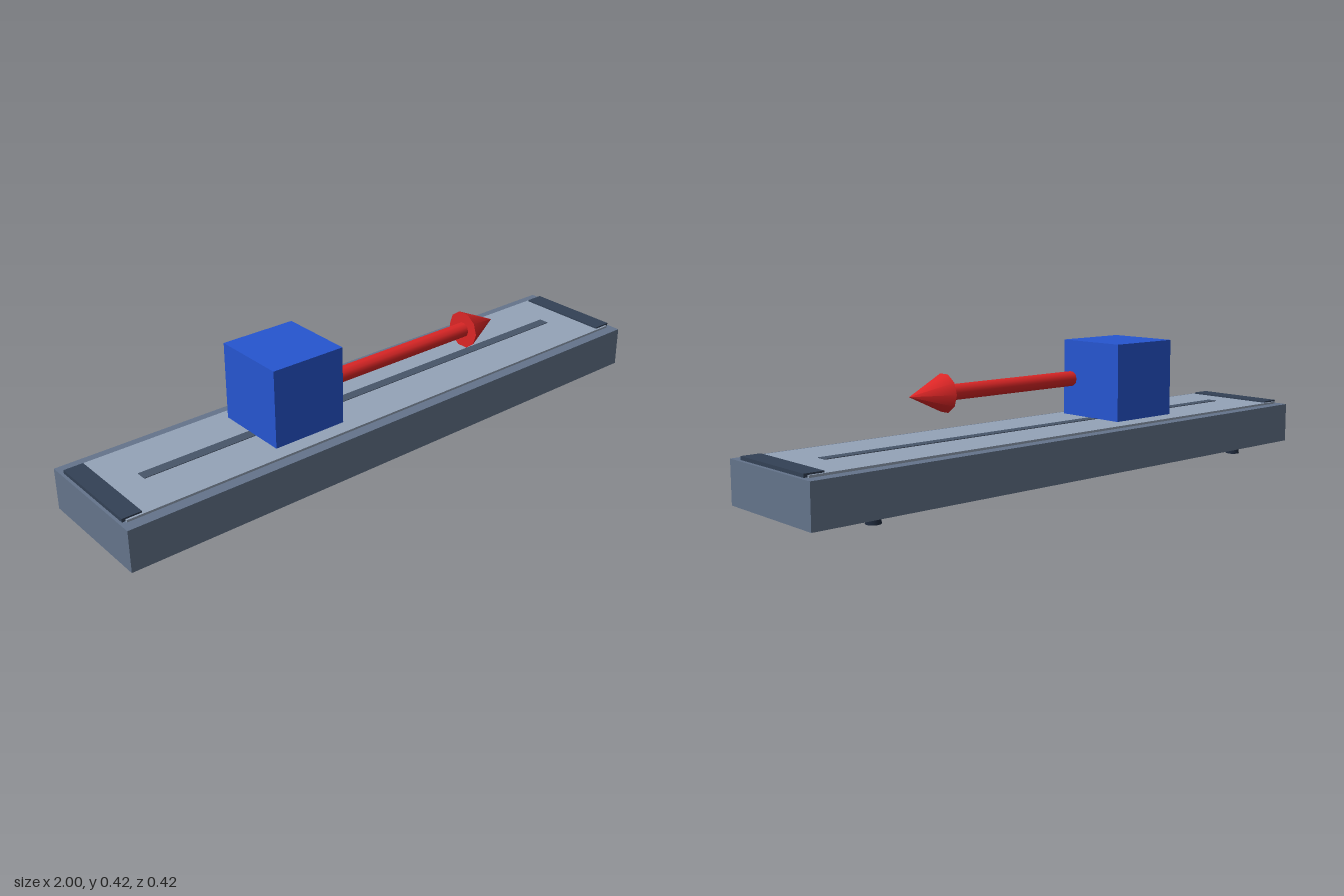
import * as THREE from 'three';

export function createModel() {
  const model = new THREE.Group();
  model.name = 'slidingBlockTrack';

  const mat = (color) => new THREE.MeshStandardMaterial({ color });
  const slate = mat(0x64748b), pale = mat(0x94a3b8), slotGrey = mat(0x475569);
  const dark = mat(0x334155), rubber = mat(0x1e293b), blue = mat(0x2655d0), red = mat(0xdc2626);

  const add = (name, geometry, material, x, y, z, parent = model) => {
    const mesh = new THREE.Mesh(geometry, material);
    mesh.name = name;
    mesh.position.set(x, y, z);
    parent.add(mesh);
    return mesh;
  };
  // Box given by its bottom and top heights
  const slab = (name, w, y0, y1, d, material, x = 0) =>
    add(name, new THREE.BoxGeometry(w, y1 - y0, d), material, x, (y0 + y1) / 2, 0);

  // Track: body, inset top plate and centre guide
  slab('base', 2, 0.025, 0.159, 0.416, slate);
  slab('topPlate', 1.96, 0.157, 0.166, 0.342, pale);
  slab('guideSlot', 1.67, 0.16, 0.168, 0.035, slotGrey);

  // End stops and feet
  for (const sx of [-1, 1]) {
    slab('endStop', 0.062, 0.16, 0.171, 0.328, dark, sx * 0.96);
    for (const sz of [-1, 1]) {
      add('foot', new THREE.CylinderGeometry(0.02, 0.0235, 0.018, 12), rubber, sx * 0.77, 0.009, sz * 0.149);
    }
  }

  // Sliding block
  slab('block', 0.252, 0.17, 0.422, 0.252, blue, -0.329);

  // Arrow pointing along +x
  const arrow = new THREE.Group();
  arrow.name = 'arrow';
  arrow.position.set(-0.18, 0.297, 0.067);
  arrow.rotation.z = -Math.PI / 2;
  model.add(arrow);
  add('arrowShaft', new THREE.CylinderGeometry(0.025, 0.025, 0.535, 10), red, 0, 0.2675, 0, arrow);
  add('arrowHead', new THREE.ConeGeometry(0.062, 0.132, 10), red, 0, 0.601, 0, arrow);

  return model;
}
